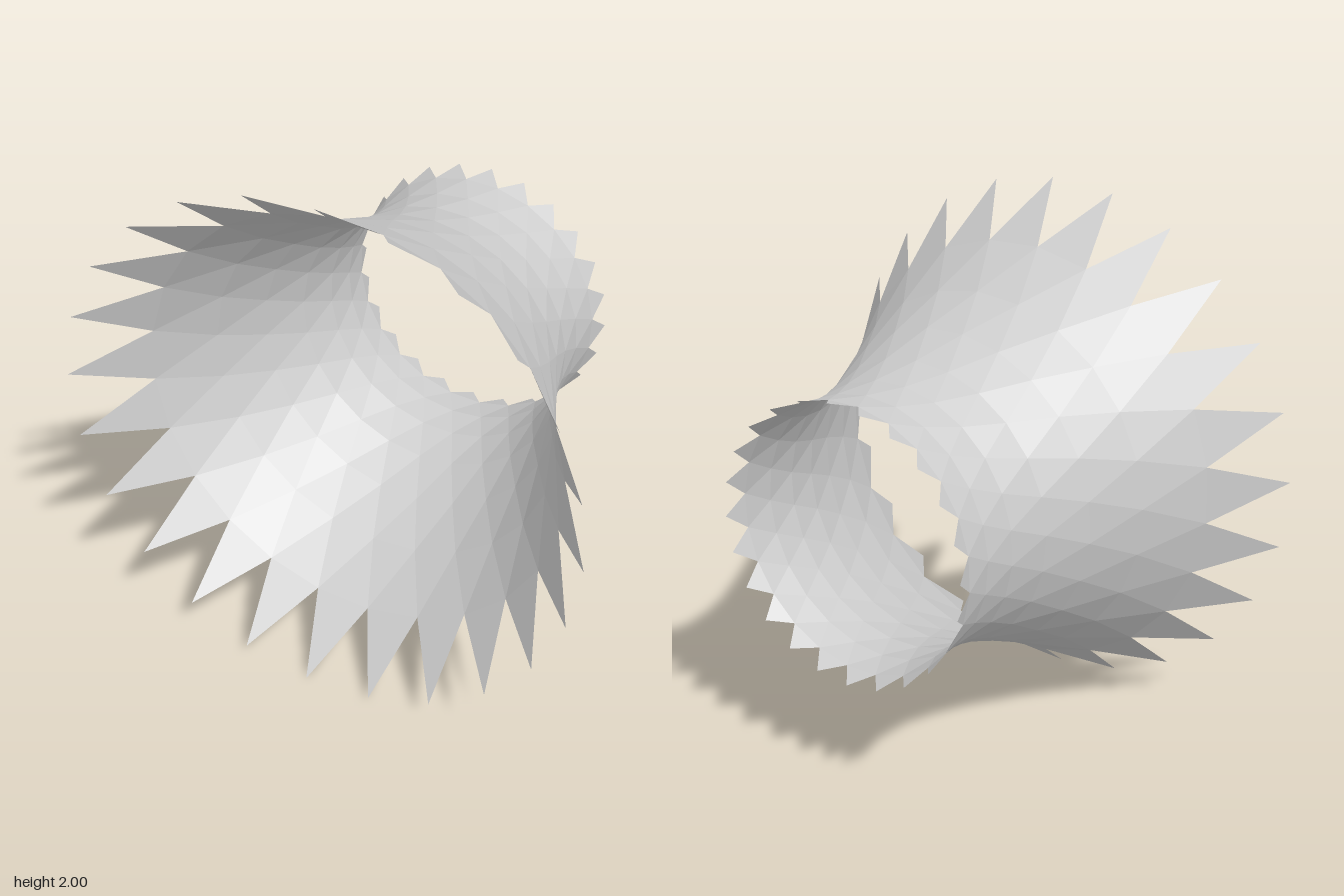
import * as THREE from 'three';

export function createModel() {
  const group = new THREE.Group();
  const count = 24; // spikes per rim
  const phase = THREE.MathUtils.degToRad(2.8);

  // Rows of the flared tube, front to back: [z, radius]
  const rows = [
    [0.655, 1.0], [0.395, 0.815], [0.17, 0.685], [-0.024, 0.597], [-0.19, 0.53],
    [-0.335, 0.494], [-0.46, 0.485], [-0.575, 0.497], [-0.655, 0.517],
  ];
  const last = rows.length - 1;

  // Point on a row; j counts half steps clockwise from the top
  const point = (k, j) => {
    const a = phase + (j * Math.PI) / count;
    const [z, r] = rows[k];
    return [r * Math.sin(a), 1 + r * Math.cos(a), z];
  };

  // Each row is turned half a step from its neighbour, giving a diamond lattice.
  // The two end bands keep only the triangles that point outward as spikes.
  const positions = [];
  for (let k = 0; k < last; k++) {
    for (let i = 0; i < count; i++) {
      const j = 2 * i + (k % 2);
      if (k < last - 1) {
        positions.push(...point(k, j), ...point(k + 1, j + 1), ...point(k + 1, j - 1));
      }
      if (k > 0) {
        positions.push(...point(k + 1, j + 1), ...point(k, j), ...point(k, j + 2));
      }
    }
  }

  const geometry = new THREE.BufferGeometry();
  geometry.setAttribute('position', new THREE.Float32BufferAttribute(positions, 3));
  geometry.computeVertexNormals();

  const material = new THREE.MeshStandardMaterial({
    color: 0xcccccc, flatShading: true, side: THREE.DoubleSide,
  });
  const shell = new THREE.Mesh(geometry, material);
  shell.name = 'spikedFlaredTube';
  group.add(shell);
  return group;
}
